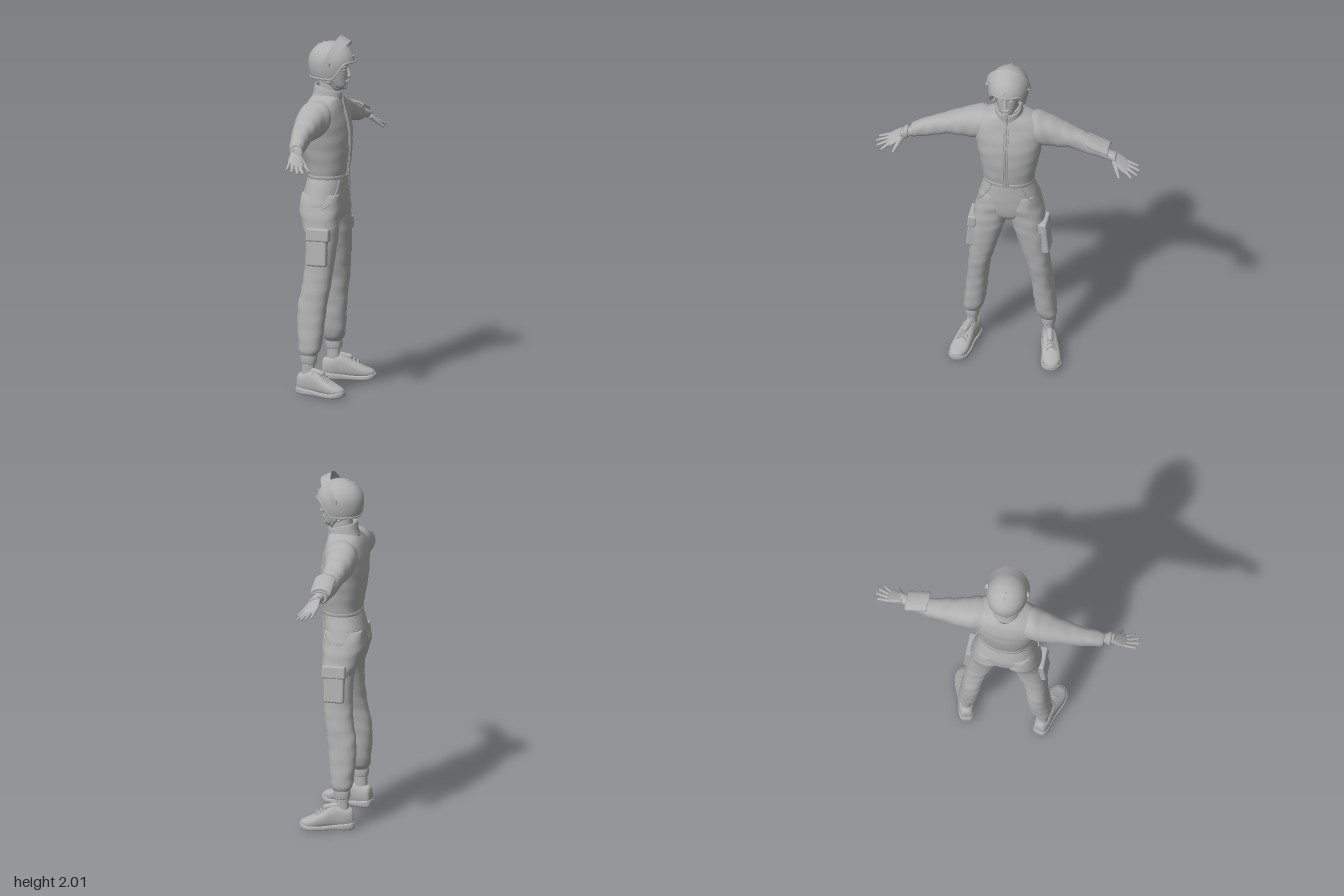
import * as THREE from 'three';
import { ParametricGeometry } from 'three/addons/geometries/ParametricGeometry.js';
import { RoundedBoxGeometry } from 'three/addons/geometries/RoundedBoxGeometry.js';

const V = (x, y, z) => new THREE.Vector3(x, y, z);
const grey = new THREE.MeshStandardMaterial({ color: 0xb0b0b0, side: THREE.DoubleSide });
grey.name = 'plainGrey';

// Resample cross-section rows with a Catmull-Rom curve in every column
function smooth(rows, k) {
  const out = [];
  const row = i => rows[Math.max(0, Math.min(rows.length - 1, i))];
  for (let i = 0; i < rows.length - 1; i++) for (let s = 0; s < k; s++) {
    const t = s / k;
    out.push(rows[i].map((p1, c) => {
      const p0 = row(i - 1)[c], p2 = row(i + 1)[c], p3 = row(i + 2)[c];
      return p1 + 0.5 * t * (p2 - p0 + t * (2 * p0 - 5 * p1 + 4 * p2 - p3 + t * (3 * (p1 - p2) + p3 - p0)));
    }));
  }
  out.push(rows[rows.length - 1]);
  return out;
}

// Turn the faces outward if the enclosed volume is negative
function outward(geo) {
  const p = geo.attributes.position, ix = geo.index.array;
  const a = V(), b = V(), c = V();
  geo.computeBoundingBox();
  const mid = geo.boundingBox.getCenter(V());
  let vol = 0;
  for (let i = 0; i < ix.length; i += 3) {
    [a, b, c].forEach((v, j) => v.fromBufferAttribute(p, ix[i + j]).sub(mid));
    vol += a.dot(b.cross(c));
  }
  if (vol < 0) for (let i = 0; i < ix.length; i += 3) [ix[i], ix[i + 1]] = [ix[i + 1], ix[i]];
  geo.computeVertexNormals();
  return geo;
}

// Closed body through rows of [t, a0, a1, b0, b1]; map places (t, a, b) in space
function loft(rows, map, { k = 5, seg = 36, p = 2.3, fold = 0 } = {}) {
  const rs = smooth(rows, k), pos = [], idx = [];
  const put = (t, a, b) => pos.push(...map(t, a, b).toArray());
  const pw = v => Math.sign(v) * Math.abs(v) ** (2 / p);
  rs.forEach(([t, a0, a1, b0, b1]) => {
    for (let j = 0; j < seg; j++) {
      const w = j / seg * Math.PI * 2;
      const f = 1 + fold * (Math.sin(t * 75 + 2.5 * Math.sin(w)) + 0.7 * Math.sin(t * 43 - 3 * w));
      put(t, (a0 + a1) / 2 + (a1 - a0) / 2 * f * pw(Math.cos(w)), (b0 + b1) / 2 + (b1 - b0) / 2 * f * pw(Math.sin(w)));
    }
  });
  for (let i = 0; i < rs.length - 1; i++) for (let j = 0; j < seg; j++) {
    const a = i * seg + j, b = i * seg + (j + 1) % seg;
    idx.push(a, b, a + seg, b, b + seg, a + seg);
  }
  [0, rs.length - 1].forEach((i, end) => {
    const [t, a0, a1, b0, b1] = rs[i], c = pos.length / 3;
    put(t, (a0 + a1) / 2, (b0 + b1) / 2);
    for (let j = 0; j < seg; j++) {
      const u = i * seg + j, v = i * seg + (j + 1) % seg;
      idx.push(c, end ? u : v, end ? v : u);
    }
  });
  const geo = new THREE.BufferGeometry();
  geo.setAttribute('position', new THREE.Float32BufferAttribute(pos, 3));
  geo.setIndex(idx);
  return outward(geo);
}

// Tapered capsule between two points
function bone(a, b, r1, r2) {
  const len = a.distanceTo(b), g = new THREE.CapsuleGeometry(r1, len, 5, 10), p = g.attributes.position;
  for (let i = 0; i < p.count; i++) {
    const f = 1 + (r2 / r1 - 1) * THREE.MathUtils.clamp(p.getY(i) / len + 0.5, 0, 1);
    p.setX(i, p.getX(i) * f); p.setZ(i, p.getZ(i) * f);
  }
  g.applyQuaternion(new THREE.Quaternion().setFromUnitVectors(V(0, 1, 0), b.clone().sub(a).normalize()));
  g.translate((a.x + b.x) / 2, (a.y + b.y) / 2, (a.z + b.z) / 2);
  g.computeVertexNormals();
  return g;
}
const tube = (pts, r, closed = false) => new THREE.TubeGeometry(new THREE.CatmullRomCurve3(pts, closed), closed ? 64 : 28, r, 6, closed);
const ball = (x, y, z, rx, ry, rz) => new THREE.SphereGeometry(1, 20, 14).scale(rx, ry, rz).translate(x, y, z);
const upright = (y, x, z) => V(x, y, z);
const along = (z, x, y) => V(x, y, z);

export function createModel() {
  const root = new THREE.Group();
  root.name = 'helmetedFigure';
  const add = (name, geo) => {
    const m = new THREE.Mesh(geo, grey);
    m.name = name; root.add(m);
  };
  const pair = (name, geo) => {
    add(name + 'Left', geo);
    const g = geo.clone().scale(1, 1, -1), ix = g.index.array;
    for (let i = 0; i < ix.length; i += 3) [ix[i], ix[i + 1]] = [ix[i + 1], ix[i]];
    g.computeVertexNormals();
    add(name + 'Right', g);
  };
  const sym = rows => rows.map(([y, x0, x1, w]) => [y, x0, x1, -w, w]);

  // Jacket: body, hem, collar, zip
  add('jacketBody', loft(sym([[1.21, -.132, .078, .138], [1.26, -.138, .086, .148], [1.35, -.155, .095, .166], [1.45, -.165, .094, .186],
    [1.54, -.162, .078, .205], [1.60, -.148, .062, .195], [1.64, -.13, .052, .15], [1.665, -.11, .045, .09], [1.68, -.09, .03, .06]]), upright, { fold: .006, seg: 48 }));
  add('jacketHem', loft(sym([[1.205, -.13, .076, .134], [1.207, -.137, .083, .143], [1.226, -.137, .083, .143], [1.23, -.13, .077, .136]]), upright, { k: 1, seg: 48 }));
  add('collar', loft(sym([[1.62, -.125, .052, .09], [1.66, -.112, .052, .078], [1.705, -.106, .056, .072], [1.712, -.10, .05, .067],
    [1.705, -.094, .044, .061], [1.66, -.09, .035, .06]]), (y, x, z) => V(x, y - .25 * (x + .025), z), { k: 2 }));
  add('zip', tube([V(.086, 1.215, 0), V(.096, 1.35, 0), V(.096, 1.45, 0), V(.08, 1.54, 0), V(.064, 1.6, 0), V(.056, 1.64, 0), V(.058, 1.685, 0)], .005));
  pair('zipFlap', tube([V(.083, 1.215, .012), V(.094, 1.35, .012), V(.093, 1.45, .012), V(.077, 1.54, .012), V(.06, 1.6, .012)], .004));

  // Sleeves, cuffs and wrists
  pair('sleeve', loft([[.08, -.13, .045, 1.48, 1.648], [.16, -.145, .04, 1.46, 1.65], [.24, -.14, .022, 1.455, 1.622], [.35, -.12, .006, 1.452, 1.575],
    [.42, -.106, .0, 1.432, 1.548], [.5, -.085, .004, 1.417, 1.518], [.54, -.074, .002, 1.412, 1.5], [.555, -.066, -.002, 1.42, 1.488]], along, { fold: .022 }));
  pair('wrist', loft([[.53, -.058, .002, 1.422, 1.484], [.57, -.048, .01, 1.418, 1.472], [.61, -.042, .024, 1.415, 1.462]], along));
  add('wristStrap', loft([[.568, -.05, .012, 1.415, 1.476], [.572, -.055, .018, 1.408, 1.482], [.59, -.053, .022, 1.404, 1.478], [.594, -.047, .017, 1.41, 1.47]], along, { k: 1 }));
  add('armPad', loft([[-.564, -.085, .02, -.008, .008], [-.56, -.092, .026, -.011, .012], [-.45, -.092, .026, -.011, .012], [-.446, -.085, .02, -.008, .008]],
    (z, x, y) => V(x, 1.722 + y + .4 * z - 7 * (x + .035) ** 2, z), { k: 2, p: 7, seg: 48 }));

  // Hands, slanted with the thumb side lower
  pair('palm', loft([[.595, -.042, .022, -.022, .022], [.62, -.043, .035, -.017, .018], [.65, -.042, .045, -.014, .015], [.678, -.034, .046, -.011, .011], [.688, -.025, .04, -.006, .006]],
    (z, x, y) => V(x, 1.437 + y - .55 * (z - .6) - .4 * (x + .01), z), { k: 3 }));
  [[-.028, 1.405, .67, -.024, 1.388, .727], [-.006, 1.396, .678, .008, 1.38, .738], [.017, 1.387, .68, .037, 1.37, .73], [.037, 1.382, .672, .06, 1.364, .703]]
    .forEach(([a, b, c, d, e, f], i) => {
      pair('finger' + i, bone(V(a, b, c), V(d, e, f), .0105, .007));
    });
  pair('thumbBase', bone(V(.015, 1.42, .605), V(.05, 1.385, .625), .017, .011));
  pair('thumbTip', bone(V(.05, 1.385, .625), V(.07, 1.364, .638), .011, .008));

  // Trousers: hips and legs
  add('hips', loft(sym([[1.225, -.128, .07, .128], [1.17, -.146, .073, .145], [1.1, -.162, .073, .166], [1.04, -.16, .07, .176], [.98, -.135, .06, .14], [.945, -.09, .03, .06]]), upright, { seg: 48, fold: .004 }));
  pair('trouserLeg', loft([[1.12, -.15, .06, .01, .155], [1.05, -.166, .068, -.008, .178], [1.0, -.158, .066, -.004, .19], [.93, -.135, .063, .008, .204], [.85, -.115, .06, .035, .21],
    [.7, -.115, .046, .077, .222], [.6, -.125, .036, .105, .232], [.5, -.143, .02, .12, .24], [.4, -.144, .01, .13, .25], [.3, -.135, .0, .142, .26],
    [.25, -.128, -.01, .156, .262], [.22, -.115, -.026, .178, .252], [.18, -.113, -.031, .184, .249]], upright, { fold: .014 }));
  pair('ankleCuff', loft([[.178, -.112, -.03, .183, .249], [.182, -.117, -.026, .179, .253], [.222, -.12, -.023, .177, .256], [.228, -.114, -.028, .183, .25]], upright, { k: 1 }));
  pair('sock', loft([[.08, -.112, -.034, .188, .246], [.2, -.108, -.038, .19, .246]], upright));
  pair('slashPocketSeam', tube([V(.062, 1.2, .085), V(.056, 1.14, .115), V(.035, 1.08, .158), V(.0, 1.05, .178)], .004));

  // Cargo pockets on the outer thighs
  const pocket = (w, h, d, x, y, z) => new RoundedBoxGeometry(w, h, d, 3, .012).rotateX(-.09).translate(x, y, z);
  const indexed = g => { g.setIndex([...Array(g.attributes.position.count).keys()]); return g; };
  pair('cargoPocket', indexed(pocket(.115, .15, .05, -.025, .805, .205)));
  pair('cargoFlap', indexed(pocket(.135, .075, .05, -.022, .905, .2).applyMatrix4(new THREE.Matrix4().makeShear(.0, 0, 0, 0, 0, 0))));

  // Shoes, toes turned out; s runs from heel to toe
  const ca = Math.cos(.25), sa = Math.sin(.25);
  const foot = (s, w, h) => V(-.135 + s * ca - w * sa, h, .203 + s * sa + w * ca);
  const wide = rows => rows.map(([s, w, h0, h1]) => [s, -w, w, h0, h1]);
  pair('shoeSole', loft(wide([[-.006, .02, .006, .04], [.008, .038, .002, .046], [.05, .046, 0, .042], [.12, .045, .002, .034], [.19, .055, 0, .03], [.25, .056, 0, .032],
    [.285, .04, .006, .038], [.302, .014, .014, .04]]), foot, { p: 4, k: 4 }));
  pair('shoeUpper', loft(wide([[0, .02, .02, .095], [.01, .034, .015, .12], [.05, .043, .01, .13], [.09, .043, .01, .142], [.13, .045, .01, .134], [.18, .051, .01, .105],
    [.24, .052, .01, .075], [.28, .036, .012, .06], [.297, .013, .02, .045]]), foot, { p: 2.4 }));
  pair('shoeTongue', bone(foot(.095, 0, .135), foot(.15, 0, .127), .022, .018));
  for (let i = 0; i < 5; i++) {
    const s = .108 + i * .022, h = .146 - i * .0095;
    pair('lace' + i, tube([foot(s + .012, -.033, h - .027), foot(s, 0, h + .002), foot(s + .004, .033, h - .022)], .004));
    pair('laceCross' + i, tube([foot(s, -.033, h - .024), foot(s + .008, 0, h), foot(s + .014, .033, h - .029)], .0035));
  }

  // Neck, head and face
  add('neck', loft(sym([[1.62, -.1, .03, .06], [1.68, -.085, .03, .054], [1.76, -.075, .035, .052]]), upright));
  add('head', loft(sym([[1.698, .02, .055, .018], [1.708, -.005, .07, .032], [1.725, -.035, .078, .046], [1.755, -.075, .08, .058], [1.79, -.095, .081, .066],
    [1.815, -.1, .08, .069], [1.85, -.105, .086, .072], [1.9, -.09, .075, .066], [1.93, -.05, .04, .04]]), upright));
  add('noseBridge', bone(V(.082, 1.825, 0), V(.095, 1.785, 0), .008, .01));
  add('noseTip', ball(.093, 1.78, 0, .013, .009, .014));
  add('upperLip', ball(.081, 1.752, 0, .008, .005, .022));
  add('lowerLip', ball(.08, 1.744, 0, .008, .005, .018));
  add('chin', ball(.064, 1.716, 0, .018, .014, .022));
  pair('eye', ball(.07, 1.814, .028, .012, .008, .014));
  pair('brow', tube([V(.083, 1.832, .011), V(.083, 1.836, .03), V(.068, 1.83, .05)], .005));
  pair('ear', ball(-.012, 1.79, .07, .02, .032, .012));

  // Helmet: shell with a rim that rises over the face
  const shell = (u, v, grow = 0) => {
    const phi = u * Math.PI * 2, c = Math.cos(phi);
    const th = v * THREE.MathUtils.lerp(2.28, 1.47, THREE.MathUtils.smoothstep(c, .2, .85));
    const s = th < Math.PI / 2 ? Math.sin(th) : 1 - .45 * (1 - Math.sin(th));
    return V(-.01 + (.133 + grow) * s * c, 1.85 + (.12 + grow) * Math.cos(th), (.114 + grow) * s * Math.sin(phi));
  };
  add('helmetShell', new ParametricGeometry((u, v, o) => o.copy(shell(1 - u, v)), 64, 28));
  add('helmetRim', tube(Array.from({ length: 40 }, (_, i) => shell(i / 40, 1)), .006, true));
  add('helmetLining', tube(Array.from({ length: 40 }, (_, i) => shell(i / 40, .99, -.014)), .011, true));
  [[-.055, 1.964], [-.088, 1.948]].forEach(([x, y], i) => add('vent' + i, ball(x, y, 0, .006, .005, .006)));
  add('browStud', ball(.117, 1.895, 0, .006, .006, .006));

  // Raised visor band, its pivots and the chin strap
  const visor = r => (u, v, o) => {
    const a = (u - .5) * Math.PI, w = (v - .5) * (.03 + .034 * Math.cos(a));
    const d = (.138 + r) * Math.cos(a);
    o.set(.0 + .5 * d + .87 * w, 1.868 + .87 * d - .5 * w, (.121 + r) * Math.sin(a));
  };
  add('visorOuter', new ParametricGeometry(visor(.003), 48, 4));
  add('visorInner', new ParametricGeometry(visor(-.003), 48, 4));
  pair('visorPivot', new THREE.CylinderGeometry(.017, .019, .014, 24).rotateX(Math.PI / 2).translate(.0, 1.865, .118));
  pair('strapPad', ball(.005, 1.765, .078, .016, .028, .012));
  pair('chinStrap', tube([V(-.0, 1.79, .08), V(.01, 1.745, .07), V(.03, 1.71, .045), V(.042, 1.696, 0)], .007));
  pair('rearStrap', tube([V(-.06, 1.79, .085), V(-.03, 1.755, .076), V(.01, 1.745, .07)], .006));
  return root;
}
